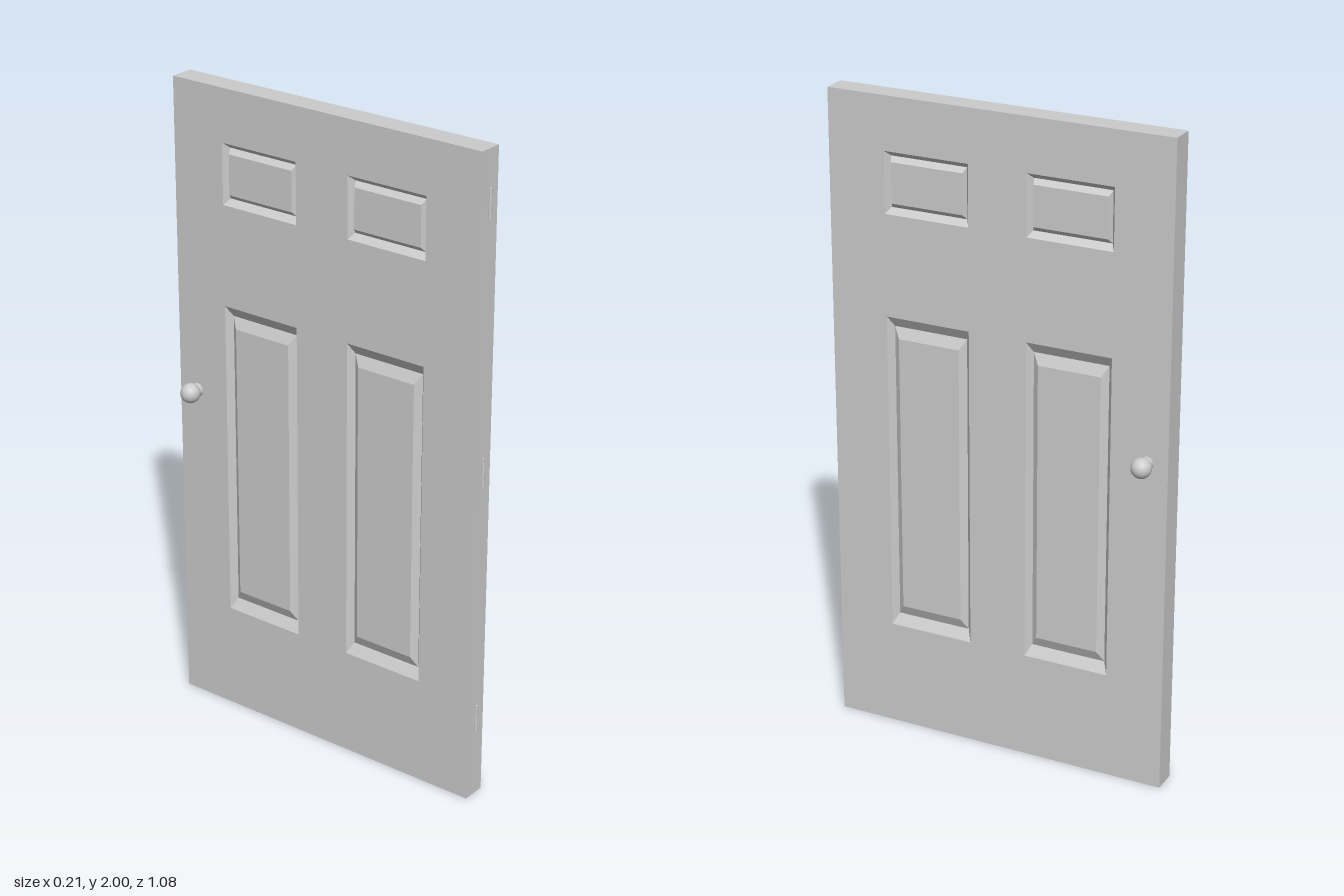
import * as THREE from 'three';

const W = 0.538, H = 2, T = 0.0375; // half width, height, half thickness
const material = new THREE.MeshStandardMaterial({ color: 0xcccccc });
const flat = new THREE.MeshStandardMaterial({ color: 0xcccccc, flatShading: true });

// [y0, y1, groove inset u, v, field inset u, v]
const rows = [
  [0.334, 1.337, 0.016, 0.033, 0.036, 0.066],
  [1.65, 1.837, 0.013, 0.017, 0.02, 0.032],
];
const panels = rows.flatMap((r) => [-1, 1].map((s) => ({
  u0: s < 0 ? -0.359 : 0.091, u1: s < 0 ? -0.091 : 0.359,
  v0: r[0], v1: r[1], groove: [r[2], r[3]], field: [r[4], r[5]],
})));

function add(parent, name, geometry, mat = material) {
  const mesh = new THREE.Mesh(geometry, mat);
  mesh.name = name;
  parent.add(mesh);
  return mesh;
}

// Corners of a rectangle, counter-clockwise, inset and sunk by a depth
function corners(p, [iu, iv], depth) {
  return [
    [p.u0 + iu, p.v0 + iv, -depth], [p.u1 - iu, p.v0 + iv, -depth],
    [p.u1 - iu, p.v1 - iv, -depth], [p.u0 + iu, p.v1 - iv, -depth],
  ];
}

// Sunken groove around a raised field, from three nested rectangles
function panelGeometry(p) {
  const loops = [corners(p, [0, 0], 0), corners(p, p.groove, 0.02), corners(p, p.field, 0.005)];
  const pos = [];
  const quad = (a, b, c, d) => pos.push(...a, ...b, ...c, ...a, ...c, ...d);
  for (let k = 0; k < 2; k++) {
    for (let i = 0; i < 4; i++) {
      const j = (i + 1) % 4;
      quad(loops[k][i], loops[k][j], loops[k + 1][j], loops[k + 1][i]);
    }
  }
  quad(...loops[2]);
  const g = new THREE.BufferGeometry();
  g.setAttribute('position', new THREE.Float32BufferAttribute(pos, 3));
  g.computeVertexNormals();
  return g;
}

// One face of the door, with openings filled by the panels
function doorFace() {
  const face = new THREE.Group();
  const rect = (path, u0, v0, u1, v1) =>
    path.moveTo(u0, v0).lineTo(u1, v0).lineTo(u1, v1).lineTo(u0, v1).closePath();
  const shape = rect(new THREE.Shape(), -W, 0, W, H);
  for (const p of panels) shape.holes.push(rect(new THREE.Path(), p.u0, p.v0, p.u1, p.v1));
  add(face, 'faceBoard', new THREE.ShapeGeometry(shape));
  for (const p of panels) add(face, 'panel', panelGeometry(p), flat);
  return face;
}

export function createModel() {
  const model = new THREE.Group();
  model.name = 'door';

  // Slab: two faces and four edges
  const slab = new THREE.Group();
  slab.name = 'slab';
  slab.position.set(-0.002, 0, -0.003);
  model.add(slab);
  for (const s of [1, -1]) {
    const face = doorFace();
    face.name = s > 0 ? 'leftFace' : 'rightFace';
    face.rotation.y = s * Math.PI / 2;
    face.position.x = s * T;
    slab.add(face);

    const side = add(slab, s > 0 ? 'hingeEdge' : 'latchEdge', new THREE.PlaneGeometry(2 * T, H));
    side.position.set(0, H / 2, s * W);
    if (s < 0) side.rotation.y = Math.PI;

    const end = add(slab, s > 0 ? 'topEdge' : 'bottomEdge', new THREE.PlaneGeometry(2 * T, 2 * W));
    end.position.y = s > 0 ? H : 0;
    end.rotation.x = -s * Math.PI / 2;
  }

  // Knobs on both sides
  for (const s of [1, -1]) {
    const knob = new THREE.Group();
    knob.name = s > 0 ? 'leftKnob' : 'rightKnob';
    knob.position.set(0, 1.04, -0.475);
    model.add(knob);
    const ball = add(knob, 'knobBall', new THREE.SphereGeometry(0.0305, 20, 14));
    ball.position.x = s * 0.0735;
    const neck = add(knob, 'knobNeck', new THREE.CylinderGeometry(0.021, 0.021, 0.026, 20));
    neck.rotation.z = Math.PI / 2;
    neck.position.x = s * 0.046;
  }

  // Hinge pins along the hinge edge
  for (const y of [0.255, 1.05, 1.845]) {
    const hinge = add(model, 'hinge', new THREE.CylinderGeometry(0.0045, 0.0045, 0.09, 12));
    hinge.position.set(0, y, 0.5365);
  }
  return model;
}
